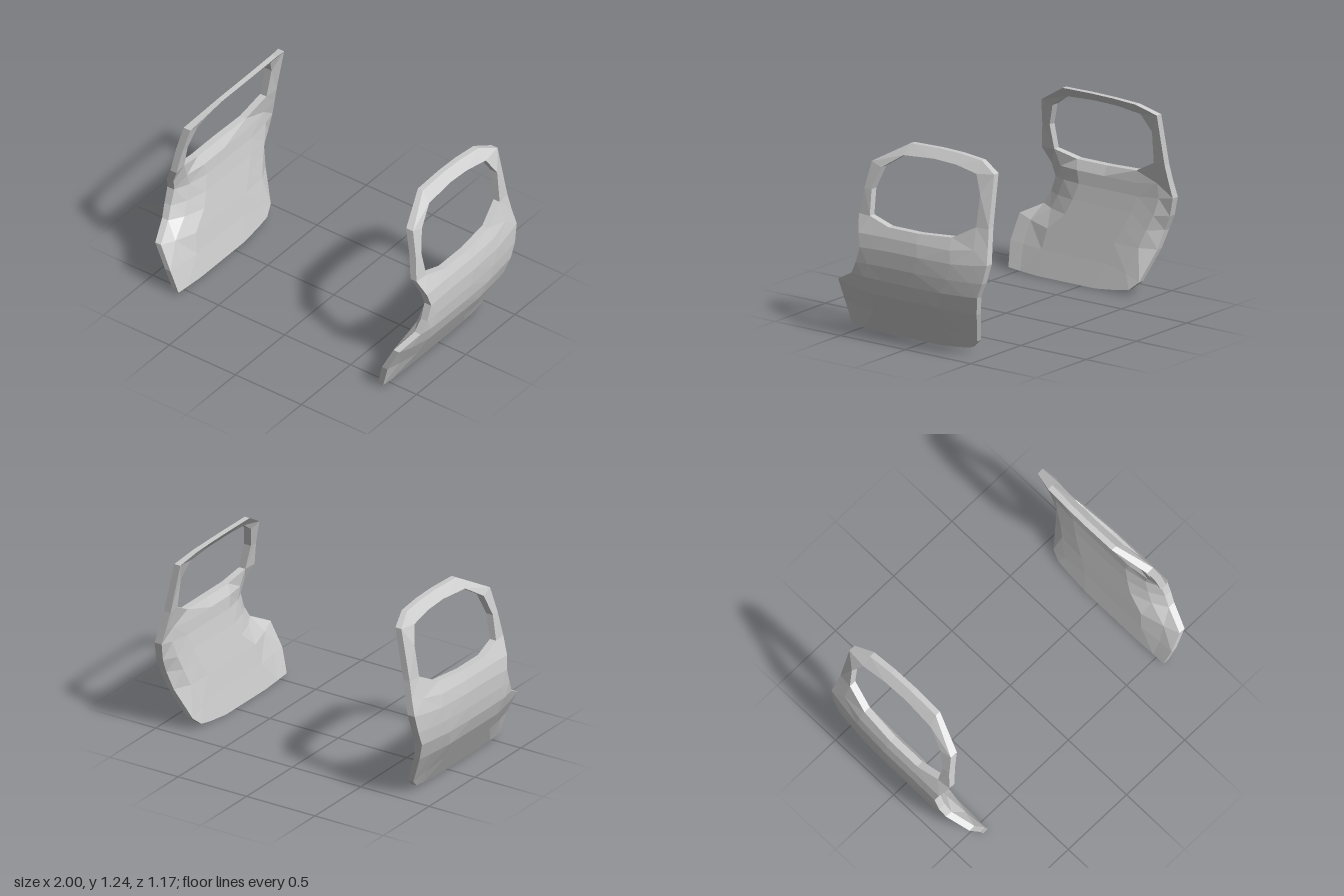
import * as THREE from 'three';

// piecewise-linear lookup in [key, value] pairs
function lookup(table, v) {
  if (v <= table[0][0]) return table[0][1];
  for (let i = 1; i < table.length; i++) {
    const [k0, a] = table[i - 1], [k1, b] = table[i];
    if (v <= k1) return a + (b - a) * (v - k0) / (k1 - k0);
  }
  return table[table.length - 1][1];
}

// outer skin and inner panel over height, plan inset over length, rim thickness over height
const SKIN = [[0, 0.79], [0.17, 0.885], [0.3, 0.957], [0.41, 0.993], [0.5, 1], [0.6, 1],
  [0.68, 0.985], [0.73, 0.965], [0.78, 0.94], [0.94, 0.91], [1.1, 0.872], [1.18, 0.825], [1.24, 0.77]];
const CORE = [[0.05, 0.765], [0.3, 0.815], [0.5, 0.857], [0.63, 0.88], [0.72, 0.885]];
const INSET = [[-0.59, 0.045], [-0.4, 0.02], [-0.2, 0], [0.37, 0], [0.58, 0.045]];
const RIM = [[0, 0.04], [0.3, 0.042], [0.6, 0.052], [0.78, 0.045], [1.1, 0.052], [1.24, 0.036]];

const fade = (y) => THREE.MathUtils.clamp(1 - (y - 0.75) / 0.35, 0, 1)
  * THREE.MathUtils.clamp(y / 0.15, 0, 1);
const outerX = (z, y) => lookup(SKIN, y) - lookup(INSET, z) * fade(y);
// depth 0 is the thin rim, depth 1 the full inner panel
const innerX = (z, y, depth) => THREE.MathUtils.lerp(
  outerX(z, y) - lookup(RIM, y), lookup(CORE, y), depth);

// panel rows from the bottom to the beltline: front edge [z, y], middle y, rear edge [z, y]
const ROWS = [
  [[0.565, 0.02], 0.004, [-0.35, 0.035]],
  [[0.585, 0.175], 0.165, [-0.415, 0.09]],
  [[0.575, 0.335], 0.295, [-0.485, 0.29]],
  [[0.43, 0.41], 0.402, [-0.515, 0.41]],
  [[0.385, 0.49], 0.497, [-0.555, 0.505]],
  [[0.35, 0.59], 0.6, [-0.585, 0.625]],
  [[0.373, 0.675], 0.68, [-0.572, 0.73]],
];
const COLUMNS = [0, 0.1, 0.25, 0.47, 0.73, 0.9, 1];
const MIDDLE = [0, 0.5, 1, 1, 1, 0.5, 0];
const DEPTH = [0, 0.6, 1, 1, 1, 0.85, 0];
const BELT = [[0.41, 0.78], [0.32, 0.78], [0.16, 0.74], [-0.07, 0.74], [-0.31, 0.755], [-0.47, 0.84], [-0.56, 0.84]];
// window frame from front pillar over the roof to the rear pillar: outline, opening
const FRAME = [
  [[0.385, 0.94], [0.33, 0.94]],
  [[0.36, 1.105], [0.28, 1.08]],
  [[0.135, 1.235], [0.145, 1.17]],
  [[-0.08, 1.24], [-0.08, 1.185]],
  [[-0.25, 1.237], [-0.25, 1.18]],
  [[-0.42, 1.225], [-0.42, 1.155]],
  [[-0.55, 1.17], [-0.48, 1.045]],
];

// side-view layout of the door as points [z, y, depth] and quads
function doorLayout() {
  const points = [], quads = [];
  const add = ([z, y, depth = 0]) => points.push([z, y, depth]) - 1;
  const grid = ROWS.map(([front, middle, rear], i) => COLUMNS.map((t, j) => {
    const end = j < 3 ? front : rear;
    return add([
      THREE.MathUtils.lerp(front[0], rear[0], t),
      THREE.MathUtils.lerp(end[1], middle, MIDDLE[j]),
      i > 0 ? DEPTH[j] : 0,
    ]);
  }));
  const belt = BELT.map(add);
  grid.push(belt);
  for (let i = 0; i + 1 < grid.length; i++)
    for (let j = 0; j < 6; j++)
      quads.push([grid[i][j], grid[i][j + 1], grid[i + 1][j + 1], grid[i + 1][j]]);
  const ring = [[belt[0], belt[1]], ...FRAME.map((pair) => pair.map(add)), [belt[6], belt[5]]];
  for (let i = 0; i + 1 < ring.length; i++)
    quads.push([ring[i][0], ring[i][1], ring[i + 1][1], ring[i + 1][0]]);
  return { points, quads };
}

// outer skin, inner panel and the walls along every open edge
function doorGeometry(side) {
  const { points, quads } = doorLayout();
  const outer = points.map(([z, y]) => new THREE.Vector3(side * outerX(z, y), y, z));
  const inner = points.map(([z, y, depth]) => new THREE.Vector3(side * innerX(z, y, depth), y, z));
  const corners = [];
  const tri = (a, b, c) => corners.push(a, side > 0 ? b : c, side > 0 ? c : b);
  // split along the shorter diagonal
  const quad = (a, b, c, d) => {
    if (a.distanceTo(c) < b.distanceTo(d)) { tri(a, b, c); tri(a, c, d); }
    else { tri(a, b, d); tri(b, c, d); }
  };
  const edges = new Set();
  for (const q of quads) q.forEach((a, k) => edges.add(a + '_' + q[(k + 1) % 4]));
  for (const q of quads) {
    const [a, b, c, d] = q;
    quad(outer[a], outer[b], outer[c], outer[d]);
    quad(inner[d], inner[c], inner[b], inner[a]);
    q.forEach((s, k) => {
      const e = q[(k + 1) % 4];
      if (!edges.has(e + '_' + s)) quad(outer[e], outer[s], inner[s], inner[e]);
    });
  }
  const geometry = new THREE.BufferGeometry().setFromPoints(corners);
  geometry.computeVertexNormals();
  return geometry;
}

export function createModel() {
  const group = new THREE.Group();
  group.name = 'carDoors';
  const material = new THREE.MeshStandardMaterial({ color: 0xcccccc, flatShading: true });
  for (const [name, side] of [['leftDoor', 1], ['rightDoor', -1]]) {
    const door = new THREE.Mesh(doorGeometry(side), material);
    door.name = name;
    group.add(door);
  }
  return group;
}
